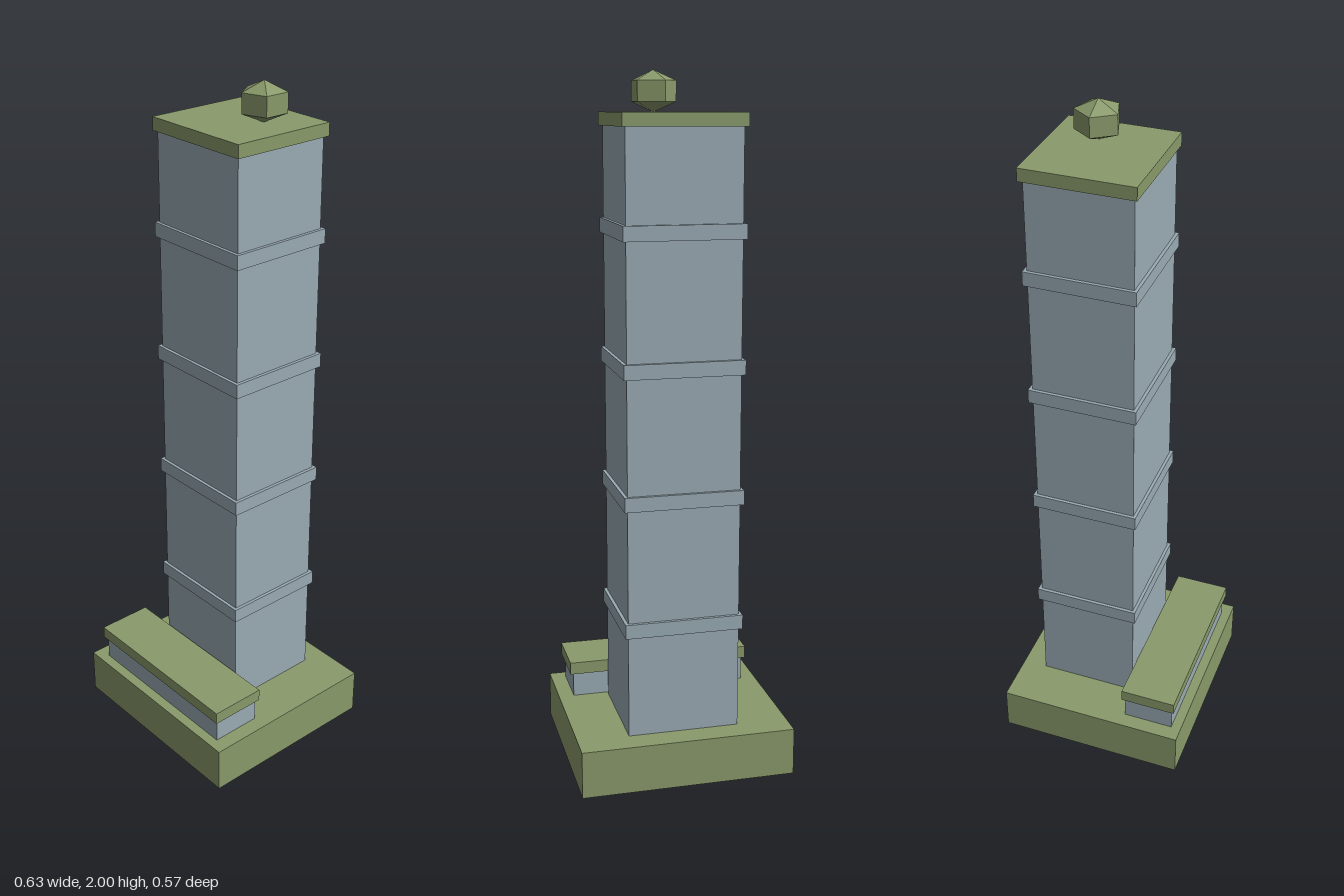
import * as THREE from 'three';

export function createModel() {
  const model = new THREE.Group();
  model.name = 'tower';
  const green = new THREE.MeshStandardMaterial({ color: 0x8a9a6b });
  green.name = 'mossGreen';
  green.flatShading = true;
  const grey = new THREE.MeshStandardMaterial({ color: 0x9aabb4 });
  grey.name = 'blueGrey';
  grey.flatShading = true;

  // Box given by its width, y range and z range, centred on x = 0
  function slab(name, material, width, y0, y1, z0, z1) {
    const mesh = new THREE.Mesh(new THREE.BoxGeometry(width, y1 - y0, z1 - z0), material);
    mesh.position.set(0, (y0 + y1) / 2, (z0 + z1) / 2);
    mesh.name = name;
    model.add(mesh);
  }

  // Plinth
  slab('base', green, 0.627, 0, 0.139, -0.283, 0.283);

  // Low entrance block in front
  slab('entranceWalls', grey, 0.536, 0.139, 0.212, 0.102, 0.253);
  slab('entranceRoof', green, 0.556, 0.212, 0.249, 0.094, 0.262);

  // Shaft, floor bands and roof
  slab('shaft', grey, 0.325, 0.139, 1.853, -0.21, 0.088);
  for (let i = 0; i < 4; i++) {
    const y = 0.461 + i * 0.372;
    slab('floorBand' + (i + 1), grey, 0.344, y - 0.021, y + 0.021, -0.22, 0.097);
  }
  slab('roof', green, 0.345, 1.853, 1.89, -0.2205, 0.097);

  // Five-sided faceted ornament on the roof
  const ornament = new THREE.Mesh(new THREE.SphereGeometry(0.074, 5, 3), green);
  ornament.scale.y = 0.75;
  ornament.position.set(0.059, 1.9445, -0.091);
  ornament.name = 'roofOrnament';
  model.add(ornament);

  return model;
}
